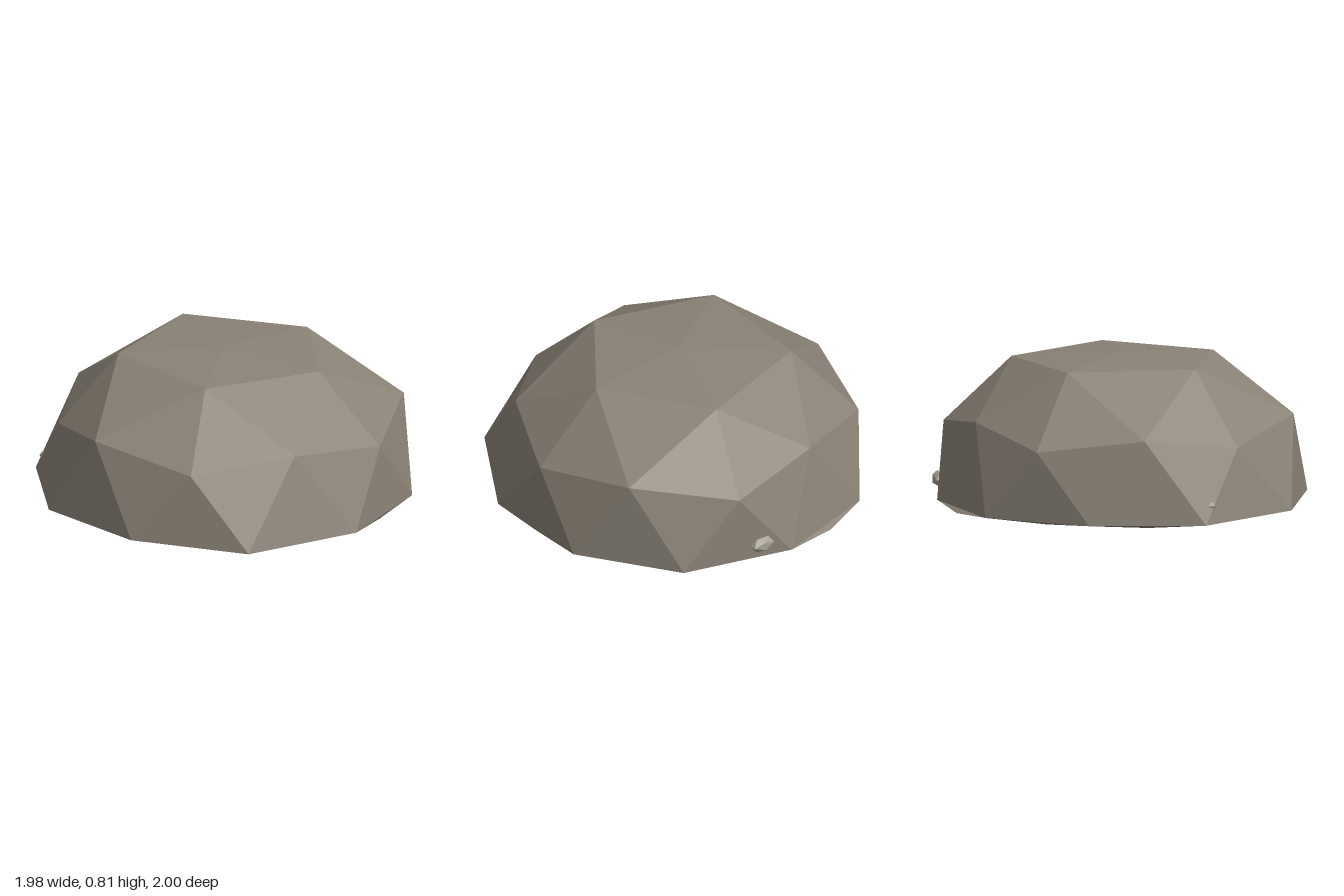
import * as THREE from 'three';

// Rings of [x, y, z], each running from +x round towards +z
const TOP = [0, 0.805, 0];
const CROWN = [[0.57, 0.757, -0.02], [0.18, 0.76, 0.52], [-0.47, 0.775, 0.32], [-0.47, 0.775, -0.37], [0.18, 0.757, -0.57]];
const SHOULDER = [[0.945, 0.4, -0.02], [0.3, 0.4, 0.88], [-0.73, 0.39, 0.51], [-0.76, 0.4, -0.58], [0.29, 0.4, -0.92]];
const BROW = [[0.72, 0.47, 0.5], [-0.29, 0.49, 0.88], [-0.91, 0.47, -0.02], [-0.25, 0.48, -0.83], [0.77, 0.49, -0.58]];
const RIM = [[0.985, 0.3], [0.65, 0.87], [0, 1], [-0.61, 0.82], [-0.99, 0.3],
  [-0.91, -0.32], [-0.58, -0.83], [0, -1], [0.6, -0.84], [0.96, -0.34]].map(([x, z]) => [x, 0.02, z]);
const FOOT_RADII = [0.96, 0.93, 0.88, 0.92, 0.88, 0.9, 0.88, 0.99, 0.9, 0.93];
const FOOT = FOOT_RADII.map((r, i) => [r * Math.cos(i * Math.PI / 5), 0, r * Math.sin(i * Math.PI / 5)]);

// Flat triangles, each turned to face away from the middle of the rock
function facetedGeometry(triangles) {
  const middle = new THREE.Vector3(0, 0.3, 0);
  const points = [];
  for (const corners of triangles) {
    const [a, b, c] = corners.map((p) => new THREE.Vector3(...p));
    const normal = b.clone().sub(a).cross(c.clone().sub(a));
    const outward = normal.dot(a.clone().sub(middle)) > 0;
    points.push(...(outward ? [a, b, c] : [a, c, b]));
  }
  const geometry = new THREE.BufferGeometry().setFromPoints(points);
  geometry.computeVertexNormals();
  return geometry;
}

function boulderGeometry() {
  const tris = [];
  for (let k = 0; k < 5; k++) {
    const n = (k + 1) % 5;
    const e = 2 * k;
    // Cap and upper facets
    tris.push([TOP, CROWN[k], CROWN[n]], [CROWN[k], CROWN[n], BROW[k]]);
    tris.push([CROWN[k], SHOULDER[k], BROW[k]], [CROWN[n], BROW[k], SHOULDER[n]]);
    // Side facets down to the rim
    tris.push([SHOULDER[k], RIM[e], BROW[k]], [BROW[k], RIM[e], RIM[e + 1]]);
    tris.push([BROW[k], RIM[e + 1], SHOULDER[n]], [SHOULDER[k], RIM[(e + 9) % 10], RIM[e]]);
  }
  // Thin undercut and flat underside
  for (let i = 0; i < 10; i++) {
    const j = (i + 1) % 10;
    tris.push([RIM[i], RIM[j], FOOT[j]], [RIM[i], FOOT[i], FOOT[j]], [FOOT[i], FOOT[j], [0, 0, 0]]);
  }
  return facetedGeometry(tris);
}

export function createModel() {
  const model = new THREE.Group();
  model.name = 'rock';
  const stone = new THREE.MeshStandardMaterial({ color: 0x8a8276, flatShading: true });
  const paleStone = new THREE.MeshStandardMaterial({ color: 0xa8a294, flatShading: true });

  const boulder = new THREE.Mesh(boulderGeometry(), stone);
  boulder.name = 'boulder';
  model.add(boulder);

  // Small pebbles embedded in the sides
  const addPebble = (name, position, size) => {
    const pebble = new THREE.Mesh(new THREE.IcosahedronGeometry(1, 0), paleStone);
    pebble.name = name;
    pebble.position.set(...position);
    pebble.scale.set(...size);
    model.add(pebble);
  };
  addPebble('backPebble', [0.17, 0.105, -0.967], [0.075, 0.045, 0.036]);
  addPebble('sidePebble', [-0.915, 0.115, 0.335], [0.028, 0.025, 0.03]);
  return model;
}
